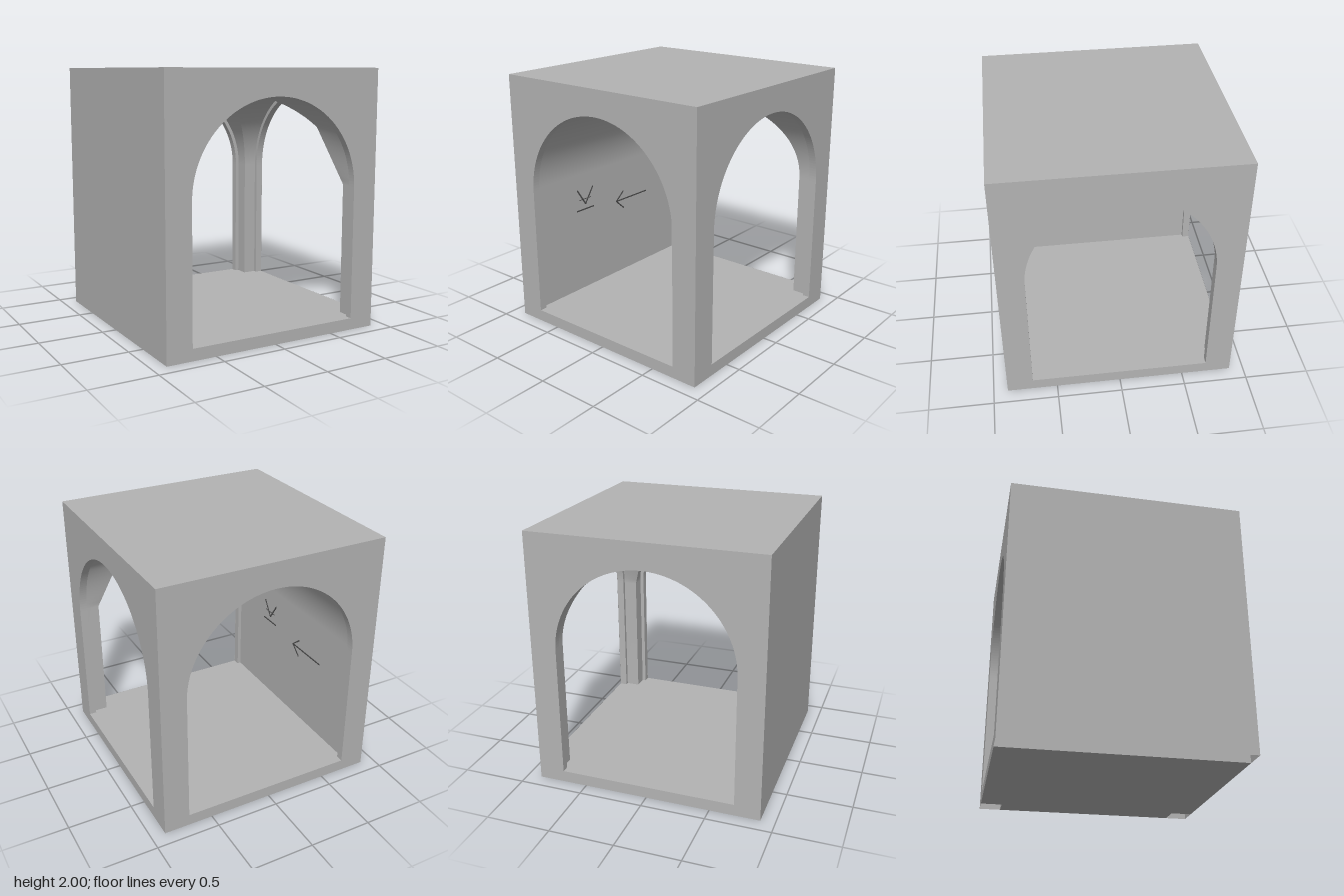
import * as THREE from 'three';

const H = 0.89, TOP = 2, FLOOR = 0.09, SPRING = 1.11;
const R_OPEN = 0.69, R_VAULT = 0.72, INNER = 0.83, SEG = 48;

const stone = new THREE.MeshStandardMaterial({ color: 0xb3b3b3, side: THREE.DoubleSide });
stone.name = 'stone grey';
const carved = new THREE.MeshStandardMaterial({ color: 0x4c4c4c, side: THREE.DoubleSide });
carved.name = 'carved dark grey';

function add(parent, name, geometry, material = stone) {
  const mesh = new THREE.Mesh(geometry, material);
  mesh.name = name;
  parent.add(mesh);
  return mesh;
}

// Round-headed doorway outline, standing on the floor
function archPath(PathType, r) {
  const p = new PathType();
  p.moveTo(-r, FLOOR);
  p.lineTo(r, FLOOR);
  p.lineTo(r, SPRING);
  p.absarc(0, SPRING, r, 0, Math.PI, false);
  p.lineTo(-r, FLOOR);
  return p;
}

// Outer wall sheet with a doorway and a shallow lining ring behind it
function doorwayWall(name) {
  const wall = new THREE.Group();
  wall.name = name;
  const face = new THREE.Shape([[-H, 0], [H, 0], [H, TOP], [-H, TOP]].map(p => new THREE.Vector2(...p)));
  face.holes.push(archPath(THREE.Path, R_OPEN));
  add(wall, 'wallFace', new THREE.ShapeGeometry(face, SEG)).position.z = H;

  const ring = new THREE.Shape();
  ring.moveTo(R_OPEN, FLOOR);
  ring.lineTo(R_VAULT + 0.005, FLOOR);
  ring.lineTo(R_VAULT + 0.005, SPRING);
  ring.absarc(0, SPRING, R_VAULT + 0.005, 0, Math.PI, false);
  ring.lineTo(-R_VAULT - 0.005, FLOOR);
  ring.lineTo(-R_OPEN, FLOOR);
  ring.lineTo(-R_OPEN, SPRING);
  ring.absarc(0, SPRING, R_OPEN, Math.PI, 0, true);
  ring.lineTo(R_OPEN, FLOOR);
  const lining = new THREE.ExtrudeGeometry(ring, { depth: H - INNER - 0.001, bevelEnabled: false, curveSegments: SEG });
  add(wall, 'doorwayLining', lining).position.z = INNER;
  return wall;
}

// One arm of the vault: its profile runs up a pier, over the arch and down again;
// each line stops at the diagonal groin. place() turns (across, y, along) into x, y, z.
function vaultArm(place, groined, chordCorner) {
  const pos = [], index = [];
  const cut = THREE.MathUtils.degToRad(37.5);
  const rows = [[R_VAULT, FLOOR, -1]];
  for (let i = 0; i <= SEG; i++) {
    const t = Math.PI * i / SEG;
    rows.push([R_VAULT * Math.cos(t), SPRING + R_VAULT * Math.sin(t), t]);
  }
  rows.push([-R_VAULT, FLOOR, -1]);
  rows.forEach(([a, y, t], i) => {
    let ga = a, gy = y;
    // The groin of one corner is straight over its lower part
    if (chordCorner && t > 0 && t < cut) {
      const k = t / cut;
      ga = R_VAULT * (1 + k * (Math.cos(cut) - 1));
      gy = SPRING + R_VAULT * k * Math.sin(cut);
    }
    pos.push(...place(ga, gy, groined(a) ? Math.abs(ga) : 0), ...place(a, y, INNER));
    if (i > 0) {
      const k = i * 2;
      index.push(k - 2, k, k - 1, k - 1, k, k + 1);
    }
  });
  const g = new THREE.BufferGeometry();
  g.setAttribute('position', new THREE.Float32BufferAttribute(pos, 3));
  g.setIndex(index);
  g.computeVertexNormals();
  return g;
}

// Thin bar on the closed wall, between two (z, y) points
function wallStroke(parent, z1, y1, z2, y2, width = 0.01) {
  const length = Math.hypot(z2 - z1, y2 - y1);
  const bar = add(parent, 'stroke', new THREE.BoxGeometry(0.006, width, length), carved);
  bar.position.set(-R_VAULT + 0.002, (y1 + y2) / 2, (z1 + z2) / 2);
  bar.rotation.x = -Math.atan2(y2 - y1, z2 - z1);
}

export function createModel() {
  const model = new THREE.Group();
  model.name = 'vaultedRoom';

  // Outer walls: three with doorways, one closed
  model.add(doorwayWall('frontWall'));
  const back = doorwayWall('backWall');
  back.rotation.y = Math.PI;
  const side = doorwayWall('leftWall');
  side.rotation.y = Math.PI / 2;
  model.add(back, side);
  const closed = add(model, 'closedWall', new THREE.PlaneGeometry(2 * H, TOP));
  closed.rotation.y = -Math.PI / 2;
  closed.position.set(-H, TOP / 2, 0);
  const roof = add(model, 'roof', new THREE.PlaneGeometry(2 * H, 2 * H));
  roof.rotation.x = -Math.PI / 2;
  roof.position.y = TOP;

  // Floor slab, notched around the hollow corner piers
  const e = H - 0.001, n = R_VAULT;
  const slab = new THREE.Shape([[-n, -e], [n, -e], [n, -n], [e, -n], [e, n], [n, n], [n, e], [-n, e]]
    .map(p => new THREE.Vector2(...p)));
  const floor = add(model, 'floor', new THREE.ExtrudeGeometry(slab, { depth: FLOOR, bevelEnabled: false }));
  floor.rotation.x = -Math.PI / 2;

  // Vault and piers
  add(model, 'frontVault', vaultArm((a, y, b) => [a, y, b], a => a > 0, true));
  add(model, 'backVault', vaultArm((a, y, b) => [a, y, -b], a => a > 0, false));
  add(model, 'leftVault', vaultArm((a, y, b) => [b, y, a], () => true, true));

  // Ceiling boss with a pierced ring
  const boss = [[0.13, 1.83], [0.08, 1.8], [0.045, 1.775], [0.02, 1.76], [0, 1.757]];
  add(model, 'ceilingBoss', new THREE.LatheGeometry(boss.map(p => new THREE.Vector2(...p)), 32));
  const pendant = new THREE.Group();
  pendant.name = 'ceilingRing';
  pendant.position.y = 1.747;
  add(pendant, 'ring', new THREE.TorusGeometry(0.035, 0.005, 8, 28));
  for (let i = 0; i < 3; i++) {
    const t = Math.PI / 2 + i * Math.PI * 2 / 3;
    add(pendant, 'smallRing', new THREE.TorusGeometry(0.014, 0.003, 6, 18))
      .position.set(0.017 * Math.cos(t), 0.017 * Math.sin(t), 0);
  }
  model.add(pendant);

  // Carved marks on the closed wall
  const marks = new THREE.Group();
  marks.name = 'wallMarks';
  wallStroke(marks, 0.4, 0.98, 0.31, 0.845);
  wallStroke(marks, 0.22, 0.98, 0.31, 0.845);
  wallStroke(marks, 0.38, 0.89, 0.245, 0.89, 0.005);
  wallStroke(marks, 0.41, 0.8, 0.215, 0.8);
  wallStroke(marks, -0.46, 0.76, -0.065, 0.76);
  wallStroke(marks, -0.065, 0.76, -0.155, 0.835);
  wallStroke(marks, -0.065, 0.76, -0.155, 0.68);
  model.add(marks);

  return model;
}
